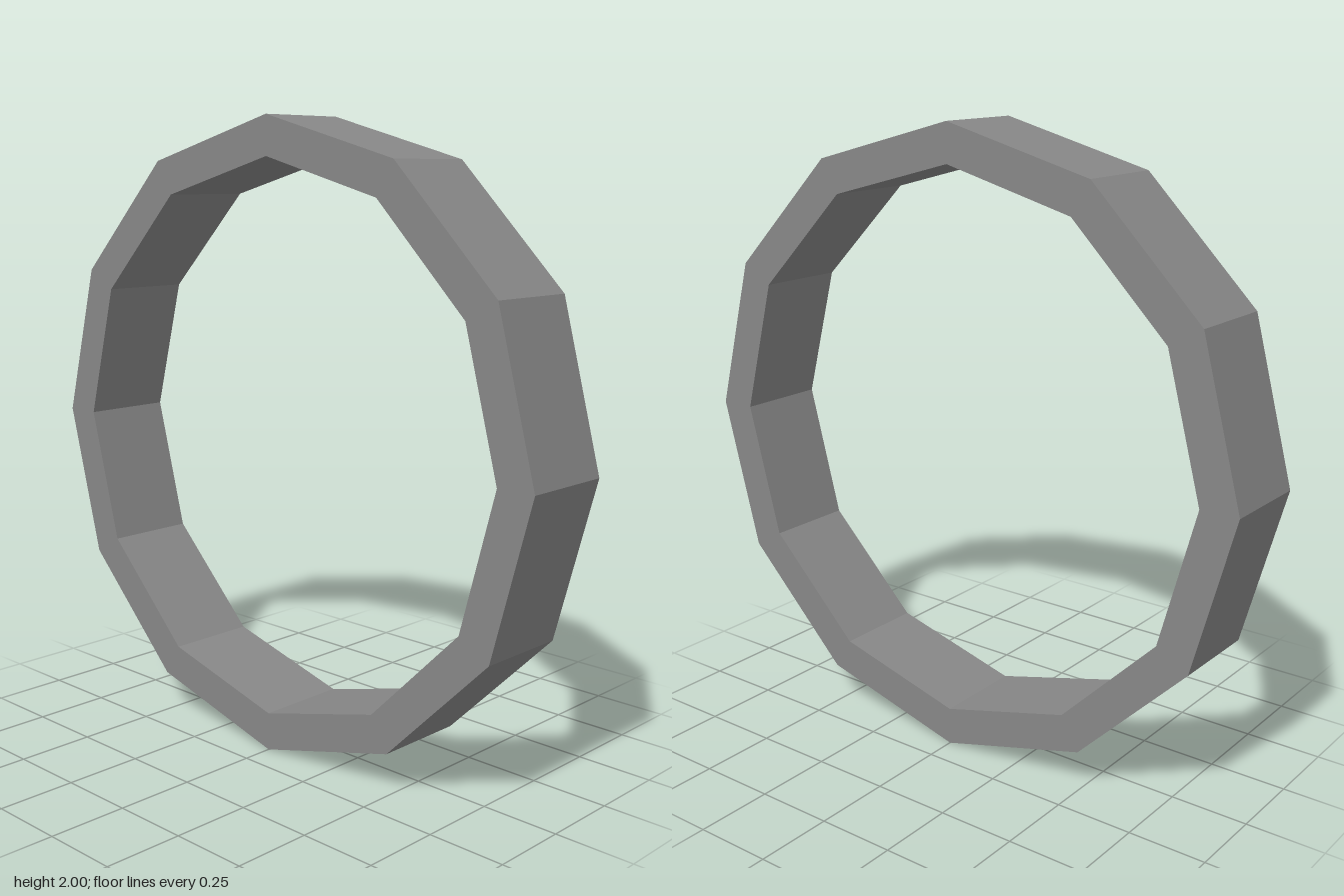
import * as THREE from 'three';

const SIDES = 12, OUTER = 1, INNER = 0.877, DEPTH = 0.304;

// Corners of a regular polygon with one corner on the x axis
function polygon(radius) {
  return Array.from({ length: SIDES }, (_, i) => {
    const a = (i / SIDES) * Math.PI * 2;
    return new THREE.Vector2(radius * Math.cos(a), radius * Math.sin(a));
  });
}

export function createModel() {
  const group = new THREE.Group();
  group.name = 'ringModel';

  // Twelve-sided flat band with a matching twelve-sided opening
  const shape = new THREE.Shape(polygon(OUTER));
  shape.holes.push(new THREE.Path(polygon(INNER)));
  const geometry = new THREE.ExtrudeGeometry(shape, { depth: DEPTH, bevelEnabled: false });
  geometry.translate(0, OUTER, -DEPTH / 2);

  const material = new THREE.MeshStandardMaterial({ color: 0x878787, flatShading: true });
  const ring = new THREE.Mesh(geometry, material);
  ring.name = 'ring';
  group.add(ring);
  return group;
}
